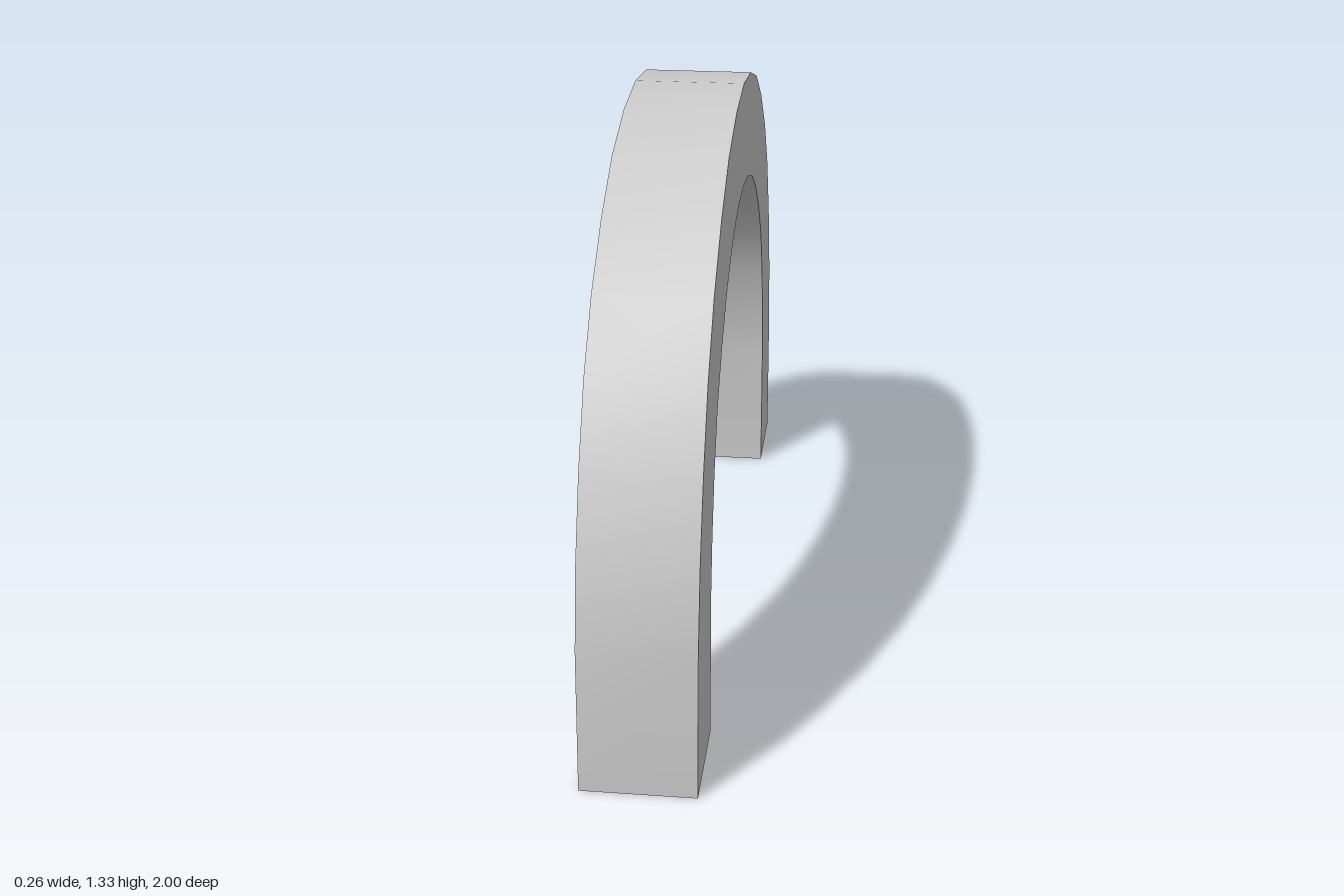
import * as THREE from 'three';
import { toCreasedNormals } from 'three/addons/utils/BufferGeometryUtils.js';

const WIDTH = 0.262;

// Half profiles, from the foot up to the crown
const OUTER = [[1, 0], [1, 0.345], [0.969, 0.535], [0.907, 0.722], [0.82, 0.894], [0.702, 1.04],
  [0.548, 1.163], [0.384, 1.254], [0.195, 1.309], [0, 1.329]];
const INNER = [[0.736, 0], [0.736, 0.345], [0.714, 0.485], [0.674, 0.622], [0.61, 0.752], [0.515, 0.859],
  [0.402, 0.95], [0.28, 1.016], [0.142, 1.058], [0, 1.071]];

// Mirror a half profile into a full span from +x to -x
function span(half) {
  const mirrored = half.slice(0, -1).reverse().map(([x, y]) => [-x, y]);
  return [...half, ...mirrored].map(([x, y]) => new THREE.Vector2(x, y));
}

export function createModel() {
  const group = new THREE.Group();
  group.name = 'archModel';

  // Arch band: outer span there, inner span back
  const shape = new THREE.Shape([...span(OUTER), ...span(INNER).reverse()]);
  const extruded = new THREE.ExtrudeGeometry(shape, { depth: WIDTH, bevelEnabled: false });
  extruded.translate(0, 0, -WIDTH / 2);
  extruded.rotateY(-Math.PI / 2);

  // Smooth around the curve, sharp along the edges
  const arch = new THREE.Mesh(
    toCreasedNormals(extruded, 0.6),
    new THREE.MeshStandardMaterial({ color: 0xcccccc })
  );
  arch.name = 'arch';
  group.add(arch);
  return group;
}
